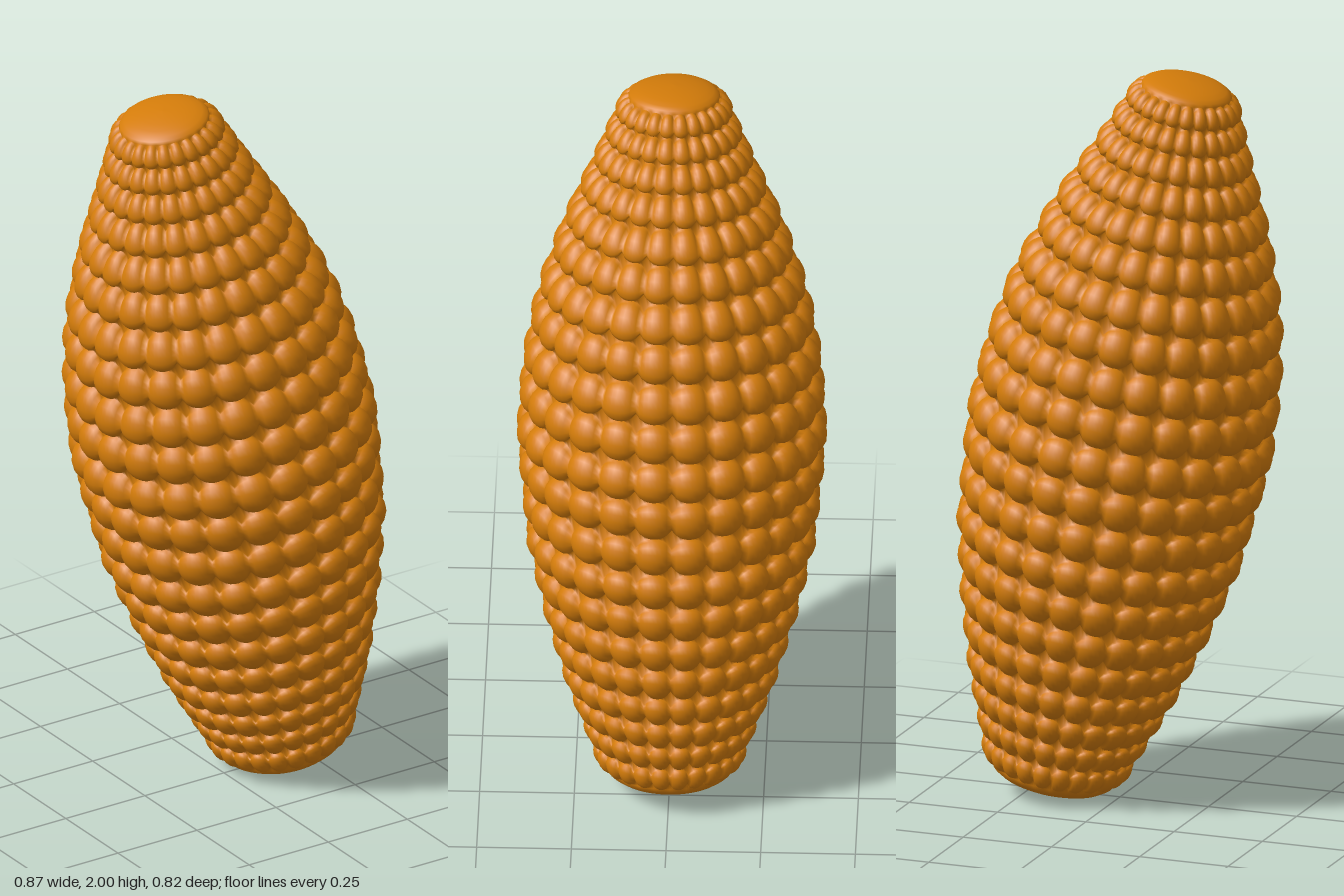
import * as THREE from 'three';

const ROWS = 21, COLUMNS = 24; // kernel grid
const ROW_STEPS = 8, COLUMN_STEPS = 8; // segments per kernel
const LENGTH = 2.023, LEAN = 0.194, PHASE = 0.03;
const BOTTOM_CAP = 0.05, TOP_CAP = 0.03;

// Outer radius along the cob: (position 0..1, radius)
const profile = [
  [0, 0.18], [0.05, 0.207], [0.1, 0.245], [0.15, 0.282], [0.25, 0.34], [0.35, 0.385], [0.5, 0.414],
  [0.6, 0.402], [0.7, 0.367], [0.8, 0.3], [0.9, 0.212], [0.95, 0.17], [1, 0.13],
];

function radiusAt(t) {
  const last = profile.length - 1;
  let i = 0;
  while (i < last - 1 && t > profile[i + 1][0]) i++;
  const [t0, r0] = profile[i], [t1, r1] = profile[i + 1];
  return THREE.MathUtils.lerp(r0, r1, THREE.MathUtils.clamp((t - t0) / (t1 - t0), 0, 1));
}

// Rings from bottom to top; slide and bulge are scaled by the kernel outline
function makeRings() {
  const rings = [];
  const weights = [];
  for (let i = 0; i < ROWS; i++) weights.push(0.03 + 0.22 * radiusAt((i + 0.5) / ROWS));
  const fit = (LENGTH - BOTTOM_CAP - TOP_CAP) / weights.reduce((a, b) => a + b, 0);

  let y = BOTTOM_CAP;
  for (const weight of weights) {
    const h = weight * fit, depth = h * 0.36;
    for (let k = 0; k <= ROW_STEPS; k++) {
      const a = Math.PI * k / ROW_STEPS;
      const slide = -Math.cos(a) * h / 2;
      const r = radiusAt((y + h / 2 + slide) / LENGTH) - depth;
      rings.push({ y: y + h / 2, slide, r, bulge: depth * Math.sin(a) });
    }
    y += h;
  }

  // Shallow domes close both ends
  const bottom = rings[0].r, top = rings[rings.length - 1].r;
  for (let k = 0; k <= 6; k++) {
    const a = Math.PI / 2 * k / 6;
    const rise = Math.sin(a), c = k === 6 ? 0 : Math.cos(a);
    rings.unshift({ y: BOTTOM_CAP * (1 - rise), slide: 0, r: bottom * c, bulge: 0 });
    rings.push({ y: LENGTH - TOP_CAP * (1 - rise), slide: 0, r: top * c, bulge: 0 });
  }
  return rings;
}

function makeCobGeometry() {
  const rings = makeRings();
  const around = COLUMNS * COLUMN_STEPS;
  const positions = [], index = [];
  rings.forEach(({ y, slide, r, bulge }, i) => {
    for (let j = 0; j < around; j++) {
      const angle = 2 * Math.PI * j / around + PHASE;
      // Across a kernel, u runs from -1 to 1 and its section shrinks as an ellipse
      const u = 2 * (j % COLUMN_STEPS) / COLUMN_STEPS - 1;
      const section = Math.sqrt(1 - 0.75 * u * u);
      const radius = r + bulge * section;
      positions.push(radius * Math.cos(angle), y + slide * section, -radius * Math.sin(angle));
      if (i === rings.length - 1) continue;
      const a = i * around + j, b = i * around + (j + 1) % around;
      index.push(a, b, a + around, b, b + around, a + around);
    }
  });
  const geometry = new THREE.BufferGeometry();
  geometry.setAttribute('position', new THREE.Float32BufferAttribute(positions, 3));
  geometry.setIndex(index);

  // Lean the cob towards -x and stand it on the ground
  geometry.rotateZ(LEAN);
  geometry.computeBoundingBox();
  const { min, max } = geometry.boundingBox;
  geometry.translate(-(min.x + max.x) / 2, -min.y, -(min.z + max.z) / 2);
  geometry.computeVertexNormals();
  return geometry;
}

export function createModel() {
  const group = new THREE.Group();
  group.name = 'cornCob';
  const material = new THREE.MeshStandardMaterial({ color: 0xd47c0a });
  const cob = new THREE.Mesh(makeCobGeometry(), material);
  cob.name = 'kernels';
  group.add(cob);
  return group;
}
